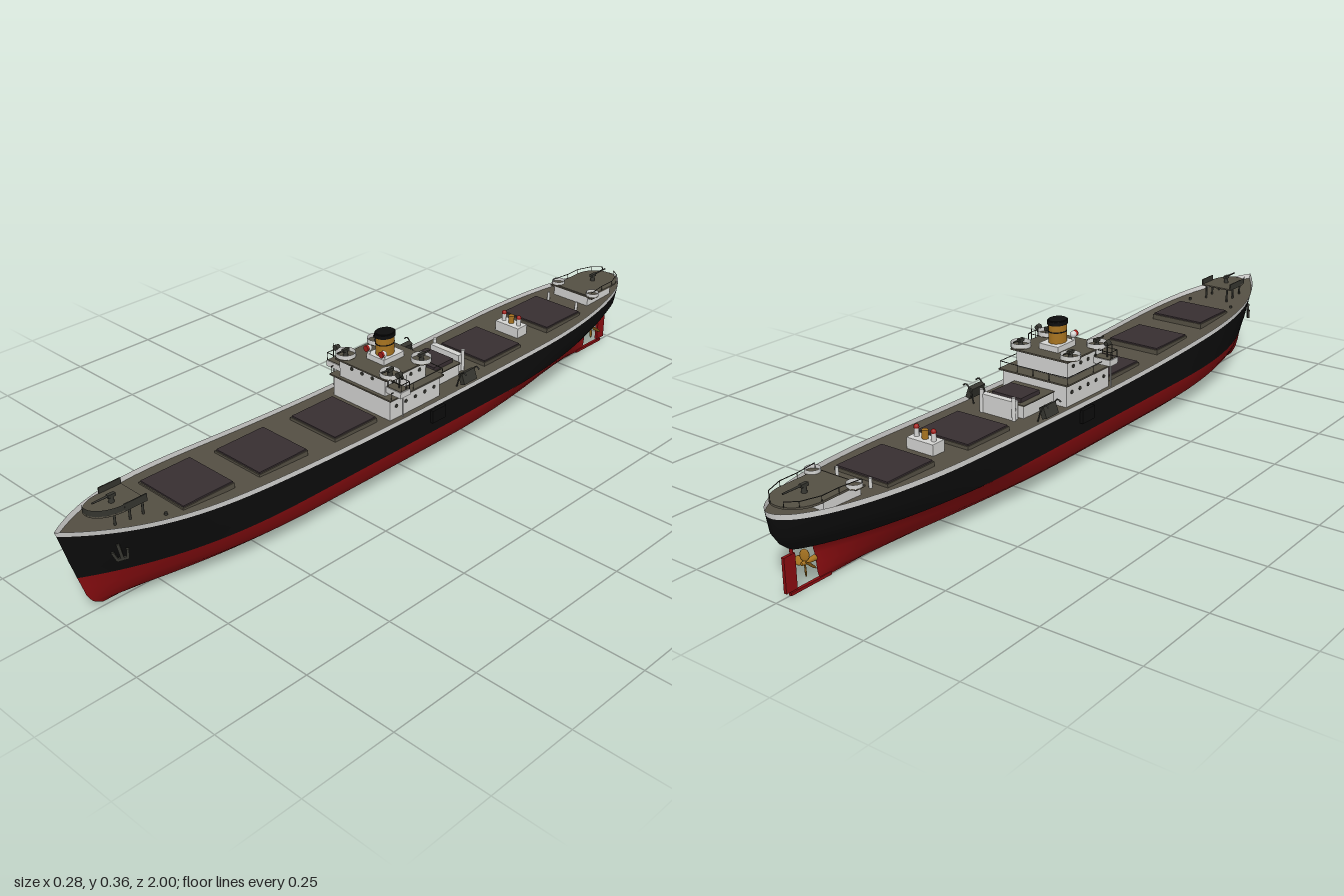
import * as THREE from 'three';

const mat = (name, color, side = THREE.FrontSide) => {
  const m = new THREE.MeshStandardMaterial({ color, side });
  m.name = name;
  return m;
};

// Height of the main deck edge along the ship
const sheer = z => 0.178 + (z > 0 ? 0.055 : 0.02) * z * z;

// Waterlines: y, half breadth, [bow z, run, power], [stern z, run, power, root]
const LINES = [
  [0.003, 0, [0.90, 0.6, 2], [-0.87, 0.8, 1.6, 1]],
  [0.013, 0.058, [0.918, 0.6, 2], [-0.875, 0.8, 1.5, 1]],
  [0.023, 0.084, [0.928, 0.6, 2], [-0.878, 0.8, 1.6, 1]],
  [0.045, 0.108, [0.94, 0.6, 2.1], [-0.88, 0.75, 1.8, 1]],
  [0.07, 0.121, [0.947, 0.6, 2.3], [-0.883, 0.7, 2, 1]],
  [0.098, 0.1285, [0.955, 0.6, 2.5], [-0.89, 0.65, 2, 0.9]],
  [0.107, 0.13, [0.958, 0.6, 2.6], [-0.95, 0.62, 2, 0.75]],
  [0.13, 0.13, [0.965, 0.6, 2.8], [-0.977, 0.58, 2, 0.62]],
  [0.155, 0.13, [0.973, 0.6, 3.1], [-0.992, 0.53, 2, 0.53]],
  ['deck', 0.13, [0.995, 0.6, 3.5], [-0.998, 0.5, 2, 0.5]],
  ['rail', 0.13, [1, 0.6, 3.6], [-1, 0.5, 2, 0.5]],
];
const N = 72;

function hullPoint(line, i) {
  const [y, half, [zb, lb, pb], [zs, ls, ps, q]] = line;
  const z = zs + (zb - zs) * (1 - Math.cos(Math.PI * i / N)) / 2;
  const bow = 1 - Math.pow(Math.max(0, 1 - (zb - z) / lb), pb);
  const stern = Math.pow(Math.max(0, 1 - Math.pow(Math.max(0, 1 - (z - zs) / ls), ps)), q);
  let h = y;
  if (y === 'deck') h = sheer(z);
  else if (y === 'rail') h = sheer(z) + 0.013;
  else h += 0.006 * (z + 0.87) * Math.max(0, 1 - y / 0.1);
  return [half * bow * stern, h, z];
}

// Skin between successive waterlines, on both sides
function hullBand(lines) {
  const pos = [], idx = [];
  for (const s of [1, -1]) {
    const base = pos.length / 3;
    for (const line of lines) for (let i = 0; i <= N; i++) {
      const [x, y, z] = hullPoint(line, i);
      pos.push(s * x, y, z);
    }
    for (let j = 0; j < lines.length - 1; j++) for (let i = 0; i < N; i++) {
      const a = base + j * (N + 1) + i, b = a + 1, c = a + N + 1, d = c + 1;
      if (s > 0) idx.push(a, c, b, b, c, d);
      else idx.push(a, b, c, b, d, c);
    }
  }
  return makeGeo(pos, idx);
}

function deckGeo() {
  const pos = [], idx = [];
  for (let i = 0; i <= N; i++) {
    const [x, y, z] = hullPoint(LINES[9], i);
    pos.push(-x, y, z, x, y, z);
    if (i < N) idx.push(2 * i, 2 * i + 2, 2 * i + 1, 2 * i + 1, 2 * i + 2, 2 * i + 3);
  }
  return makeGeo(pos, idx);
}

function makeGeo(pos, idx) {
  const g = new THREE.BufferGeometry();
  g.setAttribute('position', new THREE.Float32BufferAttribute(pos, 3));
  g.setIndex(idx);
  g.computeVertexNormals();
  return g;
}

// Flat plate with a square end and a round end pointing to +z
function roundedPlate(halfW, straight, round, h) {
  const s = new THREE.Shape();
  s.moveTo(-halfW, straight);
  s.lineTo(halfW, straight);
  s.lineTo(halfW, 0);
  s.absellipse(0, 0, halfW, round, 0, -Math.PI, true);
  s.closePath();
  return new THREE.ExtrudeGeometry(s, { depth: h, bevelEnabled: false, curveSegments: 20 }).rotateX(-Math.PI / 2);
}

export function createModel() {
  const ship = new THREE.Group();
  ship.name = 'cargoShip';
  const red = mat('bottomRed', 0x8a0d10), black = mat('hullBlack', 0x0c0c0c);
  const white = mat('paintWhite', 0xd4d4d2, THREE.DoubleSide), olive = mat('deckOlive', 0x544f43);
  const hatch = mat('hatchBrown', 0x372e31), gold = mat('funnelGold', 0xa87420);
  const gear = mat('gearGrey', 0x35352f), ventRed = mat('ventRed', 0xa01c18);

  const add = (name, geo, m, x = 0, y = 0, z = 0) => {
    const mesh = new THREE.Mesh(geo, m);
    mesh.name = name;
    mesh.position.set(x, y, z);
    ship.add(mesh);
    return mesh;
  };
  // Box given by its centre x, bottom y, centre z
  const box = (name, m, w, h, d, x, y, z) => add(name, new THREE.BoxGeometry(w, h, d), m, x, y + h / 2, z);
  const cyl = (name, m, r, h, x, y, z, r2 = r, n = 16) =>
    add(name, new THREE.CylinderGeometry(r2, r, h, n), m, x, y + h / 2, z);
  const pair = fn => [1, -1].forEach(fn);
  const tub = (name, m, r, h, x, y, z) => {
    cyl(name + 'Floor', olive, r, 0.003, x, y, z, r, 20);
    add(name + 'Wall', new THREE.CylinderGeometry(r, r, h, 20, 1, true), m, x, y + h / 2, z);
  };
  const gun = (x, y, z, len, dir) => {
    cyl('gunMount', gear, 0.007, 0.016, x, y, z, 0.005, 10);
    box('gunBreech', gear, 0.009, 0.008, 0.02, x, y + 0.013, z);
    add('gunBarrel', new THREE.CylinderGeometry(0.002, 0.003, len, 8).rotateX(dir * Math.PI / 2),
      gear, x, y + 0.018, z + dir * len / 2);
  };
  const railing = (pts, y, h) => pts.forEach(([x, z], i) => {
    cyl('railPost', gear, 0.0009, h, x, y, z, 0.0009, 5);
    if (!i) return;
    const [px, pz] = pts[i - 1];
    const bar = box('railBar', gear, 0.0015, 0.0015, Math.hypot(x - px, z - pz), (x + px) / 2, y + h, (z + pz) / 2);
    bar.rotation.y = Math.atan2(x - px, z - pz);
  });

  // Hull
  add('lowerHull', hullBand(LINES.slice(0, 7)), red);
  add('upperHull', hullBand(LINES.slice(6, 10)), black);
  add('bulwark', hullBand(LINES.slice(9, 11)), white);
  add('mainDeck', deckGeo(), olive);

  // Stern gear
  box('keelShoe', red, 0.008, 0.007, 0.12, 0, 0.002, -0.9);
  box('rudder', red, 0.008, 0.085, 0.032, 0, 0.012, -0.957);
  cyl('rudderStock', red, 0.004, 0.03, 0, 0.09, -0.948);
  add('propellerHub', new THREE.CylinderGeometry(0.007, 0.004, 0.04, 12).rotateX(Math.PI / 2), gold, 0, 0.06, -0.902);
  for (let k = 0; k < 4; k++) {
    const blade = new THREE.SphereGeometry(1, 10, 8).scale(0.011, 0.015, 0.002).rotateY(0.6)
      .translate(0, 0.018, 0).rotateZ(k * Math.PI / 2);
    add('propellerBlade', blade, gold, 0, 0.06, -0.912);
  }

  // Cargo hatches: centre z, length, half width
  [[0.645, 0.15, 0.08], [0.418, 0.155, 0.08], [0.177, 0.147, 0.08], [-0.387, 0.153, 0.08], [-0.657, 0.153, 0.08]]
    .forEach(([z, d, w]) => {
      const y = sheer(z) - 0.004;
      box('hatchCoaming', olive, 2 * w, 0.014, d, 0, y, z);
      box('hatchCover', hatch, 2 * w - 0.006, 0.018, d - 0.006, 0, y, z);
    });

  // Midship house
  box('lowerHouse', white, 0.2, 0.06, 0.185, 0, 0.176, -0.015);
  box('boatDeck', olive, 0.216, 0.004, 0.2, 0, 0.236, -0.015);
  box('bridgeHouse', white, 0.16, 0.046, 0.15, 0, 0.24, 0);
  box('bridgeRoof', olive, 0.18, 0.004, 0.17, 0, 0.286, -0.003);
  box('bridgeWings', white, 0.262, 0.016, 0.035, 0, 0.25, 0.055);
  box('wingFloor', olive, 0.256, 0.002, 0.031, 0, 0.2655, 0.055);
  pair(s => {
    cyl('wingStrut', white, 0.002, 0.06, s * 0.122, 0.19, 0.055);
    railing([[s * 0.085, 0.07], [s * 0.13, 0.07], [s * 0.13, 0.04], [s * 0.085, 0.04]], 0.266, 0.02);
    railing([[s * 0.106, 0.08], [s * 0.106, 0], [s * 0.106, -0.11], [s * 0.05, -0.112], [0, -0.112]], 0.24, 0.018);
    for (const z of [0.055, -0.06]) {
      tub('gunTub', white, 0.026, 0.014, s * 0.078, 0.289, z);
      gun(s * 0.078, 0.29, z, 0.03, z > 0 ? 1 : -1);
    }
    cyl('lampPost', gear, 0.002, 0.03, s * 0.11, 0.266, 0.055);
    add('searchlight', new THREE.CylinderGeometry(0.008, 0.006, 0.014, 14).rotateX(Math.PI / 2), gear, s * 0.11, 0.304, 0.055);
    cyl('signalMast', gear, 0.001, 0.045, s * 0.128, 0.262, 0.05);
    // Portholes
    for (let k = 0; k < 5; k++) {
      const disc = new THREE.CylinderGeometry(0.005, 0.005, 0.004, 12).rotateZ(Math.PI / 2);
      add('porthole', disc, gear, s * 0.1, 0.213, 0.055 - k * 0.035);
      if (k < 4) add('porthole', disc, gear, s * 0.08, 0.268, 0.045 - k * 0.032);
    }
    // Boats, davits and side ladders
    add('lifeRaft', new THREE.BoxGeometry(0.014, 0.03, 0.05), gear, s * 0.115, 0.205, -0.2).rotation.z = s * 0.35;
    const davit = new THREE.CatmullRomCurve3([[0.1, 0.18], [0.112, 0.215], [0.124, 0.228], [0.133, 0.222]]
      .map(([x, y]) => new THREE.Vector3(s * x, y, 0)));
    for (const z of [-0.175, -0.225]) add('davit', new THREE.TubeGeometry(davit, 10, 0.002, 6), gear, 0, 0, z);
    box('sideLadder', black, 0.01, 0.035, 0.05, s * 0.134, 0.138, -0.065);
  });
  for (const x of [-0.036, 0, 0.036]) {
    add('frontPorthole', new THREE.CylinderGeometry(0.005, 0.005, 0.004, 12).rotateX(Math.PI / 2), gear, x, 0.275, 0.075);
  }

  // House behind the bridge with its hatch
  box('afterHouse', white, 0.12, 0.035, 0.13, 0, 0.176, -0.165);
  box('afterHouseRoof', olive, 0.126, 0.003, 0.134, 0, 0.211, -0.165);
  box('afterHatch', hatch, 0.09, 0.012, 0.075, 0, 0.213, -0.183);
  box('lockers', white, 0.1, 0.052, 0.018, 0, 0.176, -0.247);
  pair(s => cyl('ventPost', white, 0.005, 0.06, s * 0.05, 0.18, -0.255));

  // Funnel and cowl vents
  box('funnelBase', white, 0.06, 0.017, 0.075, 0, 0.288, -0.01);
  const oval = (name, m, r, h, y) => cyl(name, m, r, h, 0, y, -0.008, r, 28).scale.z = 1.2;
  oval('funnel', gold, 0.022, 0.055, 0.3);
  oval('funnelBand', black, 0.0227, 0.003, 0.333);
  oval('funnelCap', black, 0.0245, 0.01, 0.353);
  oval('funnelTop', black, 0.022, 0.004, 0.361);
  pair(s => {
    cyl('ventPipe', white, 0.004, 0.03, s * 0.026, 0.29, 0.024);
    add('ventCowl', new THREE.SphereGeometry(0.009, 14, 10), white, s * 0.026, 0.32, 0.024);
    add('ventMouth', new THREE.CylinderGeometry(0.0085, 0.007, 0.01, 14).rotateX(Math.PI / 2), ventRed, s * 0.026, 0.321, 0.03);
  });

  // Mast house aft
  box('mastHouse', white, 0.08, 0.032, 0.04, 0, 0.18, -0.52);
  cyl('mastStump', gold, 0.008, 0.022, 0, 0.212, -0.52);
  pair(s => {
    cyl('mastHouseVent', white, 0.006, 0.022, s * 0.026, 0.212, -0.52);
    add('mastVentMouth', new THREE.SphereGeometry(0.007, 12, 8), ventRed, s * 0.026, 0.235, -0.52);
  });

  // Bow gun platform on posts
  add('bowPlatform', roundedPlate(0.048, 0.06, 0.07, 0.004), olive, 0, 0.25, 0.85);
  const rim = add('bowPlatformRim', new THREE.CylinderGeometry(1, 1, 0.018, 24, 1, true, -Math.PI / 2, Math.PI), gear, 0, 0.26, 0.85);
  rim.scale.set(0.048, 1, 0.07);
  pair(s => {
    box('bowPlatformSide', gear, 0.003, 0.018, 0.06, s * 0.047, 0.251, 0.82);
    for (const z of [0.795, 0.83, 0.87]) cyl('bowPlatformPost', gear, 0.003, 0.04, s * 0.035, 0.213, z, 0.003, 8);
  });
  gun(0, 0.254, 0.85, 0.05, 1);

  // Stern house and gun platform
  box('sternHouse', white, 0.12, 0.03, 0.11, 0, 0.186, -0.85);
  add('sternPlatform', roundedPlate(0.062, 0.11, 0.07, 0.005).rotateY(Math.PI), olive, 0, 0.215, -0.91);
  box('sternPlatformFront', olive, 0.15, 0.004, 0.03, 0, 0.214, -0.81);
  const sternPts = [[0.07, -0.8], [0.062, -0.86], [0.062, -0.91], [0.045, -0.957], [0.02, -0.977]];
  pair(s => {
    railing(sternPts.map(([x, z]) => [s * x, z]), 0.218, 0.014);
    tub('sternTub', white, 0.018, 0.012, s * 0.062, 0.217, -0.815);
    cyl('sternVent', white, 0.004, 0.03, s * 0.05, 0.183, -0.755);
    cyl('bollard', gear, 0.004, 0.012, s * 0.07, 0.204, 0.76);
  });
  gun(0, 0.22, -0.9, 0.06, -1);

  // Anchors on the bow
  pair(s => {
    const anchor = new THREE.Group();
    anchor.name = 'anchor';
    const part = (w, h, x, y, r) => {
      const m = new THREE.Mesh(new THREE.BoxGeometry(w, h, 0.006), gear);
      m.position.set(x, y, 0);
      m.rotation.z = r;
      anchor.add(m);
    };
    part(0.007, 0.042, 0, 0, 0);
    part(0.026, 0.007, 0, -0.018, 0);
    part(0.006, 0.024, 0.014, -0.008, -0.25);
    part(0.006, 0.024, -0.014, -0.008, 0.25);
    anchor.position.set(s * 0.062, 0.168, 0.882);
    anchor.rotation.set(0, s * 0.95, s * 0.2);
    ship.add(anchor);
  });
  return ship;
}
